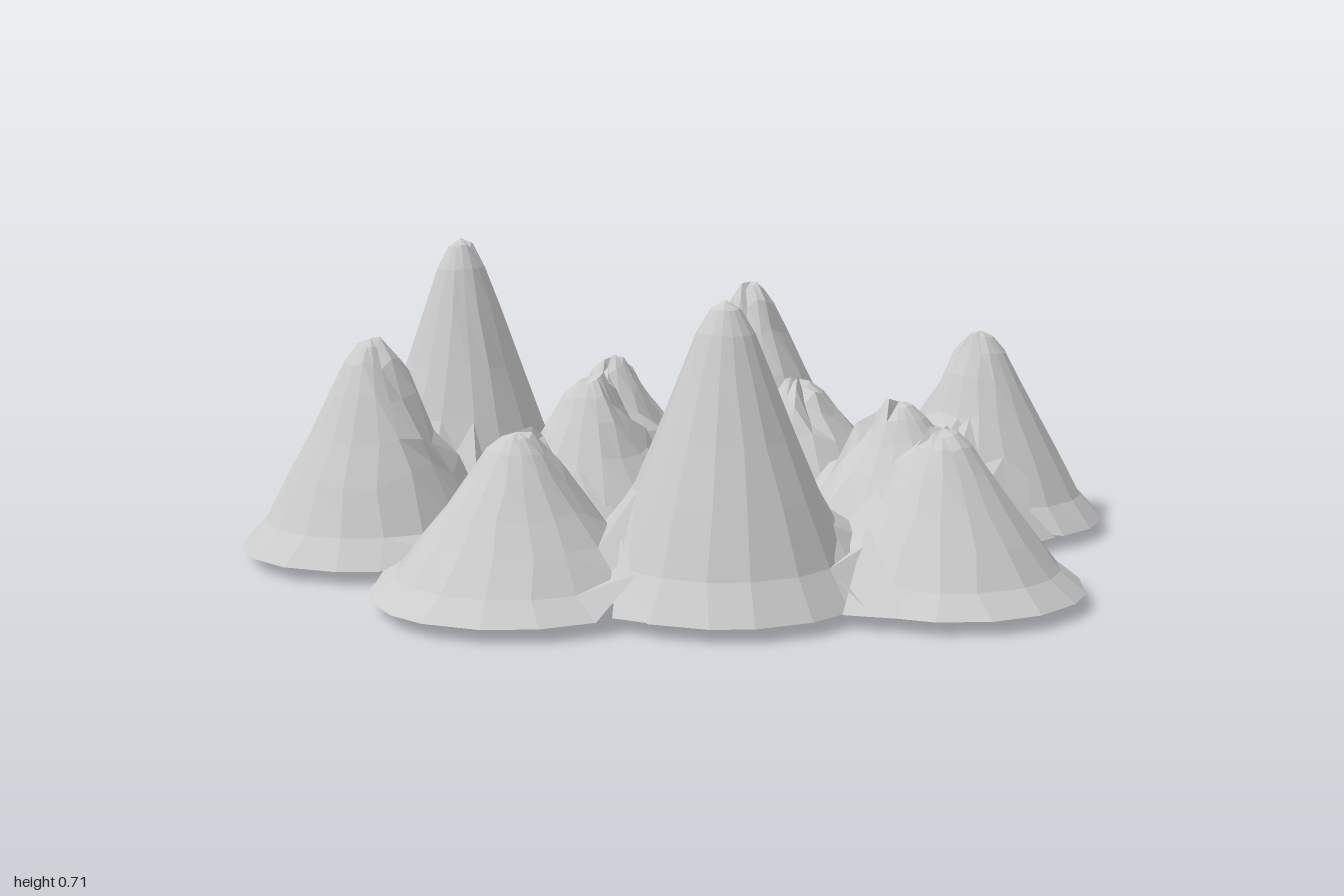
import * as THREE from 'three';

const BASE = 0.03, SIDES = 17;

// Mountains: x, z, radius, summit height, roughness of the crown
const PEAKS = [
  [-0.59, -0.55, 0.31, 0.51, 1], [-0.17, -0.7, 0.3, 0.71, 0.3], [0.28, -0.6, 0.28, 0.37, 1],
  [0.68, -0.45, 0.32, 0.55, 0.9], [0.49, -0.13, 0.32, 0.33, 1], [0.58, 0.37, 0.31, 0.49, 0.6],
  [0.26, 0.35, 0.32, 0.35, 1], [-0.06, 0.69, 0.31, 0.37, 0.8], [-0.4, 0.37, 0.31, 0.65, 0.3],
  [-0.68, 0.03, 0.32, 0.37, 1], [-0.25, -0.17, 0.31, 0.42, 1],
];

// Steep slope with a blunt top: fraction of the radius, fraction of the height
const SLOPE = [[0, 1], [0.1, 0.97], [0.2, 0.89], [0.32, 0.74], [0.48, 0.54], [0.64, 0.35], [0.82, 0.13], [1, 0]];

let seed = 7;
function noise() {
  seed = (seed * 16807) % 2147483647;
  return (seed / 2147483647) * 2 - 1;
}

// Height of one mountain above the base
function rise([x, z, r, h], px, pz) {
  const t = Math.hypot(px - x, pz - z) / r;
  const i = SLOPE.findIndex(([s]) => s > t);
  if (i < 0) return 0;
  const [t0, f0] = SLOPE[i - 1], [t1, f1] = SLOPE[i];
  return (h - BASE) * (f0 + (f1 - f0) * (t - t0) / (t1 - t0));
}

// All mountains blended, so that the passes between them fill up
function terrain(px, pz) {
  return BASE + Math.cbrt(PEAKS.reduce((sum, p) => sum + rise(p, px, pz) ** 3, 0));
}

function surface(name, triangles, material) {
  const geometry = new THREE.BufferGeometry().setFromPoints(triangles);
  geometry.computeVertexNormals();
  const mesh = new THREE.Mesh(geometry, material);
  mesh.name = name;
  return mesh;
}

// A hollow mountain, without the faces that belong to its neighbours
function mountain(peak, material) {
  const [cx, cz, r, h, rough] = peak;
  const rings = SLOPE.map(([t], k) => Array.from({ length: SIDES }, (_, j) => {
    const a = (j + (k === 0 ? 0 : noise() * 0.12)) / SIDES * Math.PI * 2;
    // the crown is craggiest on the side that faces the middle of the range
    const inward = Math.max(0, -(Math.cos(a) * cx + Math.sin(a) * cz) / Math.hypot(cx, cz));
    const crag = k > 0 && k < 6 ? rough * (0.15 + 0.85 * inward) : 0;
    const d = r * t * (1 + noise() * 0.14 * crag);
    const x = cx + Math.cos(a) * d, z = cz + Math.sin(a) * d;
    return new THREE.Vector3(x, Math.min(terrain(x, z) + noise() * 0.03 * crag, h + 0.01), z);
  }));
  const foreign = ({ x, z }) => {
    const own = rise(peak, x, z);
    return PEAKS.some((o) => o !== peak && rise(o, x, z) > own + 0.001);
  };
  const triangles = [];
  const face = (...corners) => {
    if (!corners.every(foreign)) triangles.push(...corners);
  };
  for (let k = 0; k < rings.length - 1; k++) {
    for (let j = 0; j < SIDES; j++) {
      const n = (j + 1) % SIDES;
      const a = rings[k][j], b = rings[k][n], c = rings[k + 1][j], d = rings[k + 1][n];
      if (k > 0) face(a, b, c);
      face(b, d, c);
    }
  }
  return surface('mountain', triangles, material);
}

export function createModel() {
  const group = new THREE.Group();
  group.name = 'mountainRange';
  const material = new THREE.MeshStandardMaterial({ color: 0xcccccc, flatShading: true, side: THREE.DoubleSide });

  PEAKS.forEach((peak) => group.add(mountain(peak, material)));

  // Sunken valley floor: a rim that meets the slopes and a low, nearly flat middle
  const outline = [[0, -0.46], [-0.05, -0.42], [0.02, -0.25], [0.03, -0.02], [-0.12, 0.14], [-0.13, 0.34],
    [-0.08, 0.42], [0.0, 0.4], [0.02, 0.2], [0.14, 0.08], [0.24, 0.05], [0.2, -0.2], [0.26, -0.34], [0.12, -0.42]];
  const middle = new THREE.Vector3(0.08, 0, 0.03);
  const rim = outline.map(([x, z]) => new THREE.Vector3(x, BASE + 0.01, z));
  const inner = rim.map((p) => p.clone().lerp(middle, 0.4).setY(0.014));
  const floor = rim.flatMap((p, i) => {
    const n = (i + 1) % rim.length;
    return [middle, inner[i], inner[n], inner[i], p, inner[n], p, rim[n], inner[n]];
  });
  group.add(surface('valleyFloor', floor, material));

  // Low foothills bridging the notches of the outline: two rim points and an inner point
  const foothills = [
    [-0.55, -0.86, -0.33, -0.95, -0.42, -0.75], [0.08, -0.84, 0.15, -0.85, 0.08, -0.74],
    [0.42, -0.84, 0.62, -0.76, 0.48, -0.65], [0.81, -0.08, 0.82, 0.18, 0.72, 0.08],
    [0.34, 0.65, 0.47, 0.66, 0.42, 0.54], [0.24, 0.66, 0.22, 0.82, 0.14, 0.63],
    [-0.4, 0.68, -0.3, 0.88, -0.24, 0.62], [-0.72, 0.34, -0.7, 0.42, -0.62, 0.27],
    [-0.85, -0.24, -0.77, -0.31, -0.68, -0.25],
  ];
  group.add(surface('foothills', foothills.flatMap(([x1, z1, x2, z2, x3, z3]) => [
    new THREE.Vector3(x1, BASE, z1), new THREE.Vector3(x3, terrain(x3, z3) + 0.02, z3), new THREE.Vector3(x2, BASE, z2),
  ]), material));
  return group;
}
